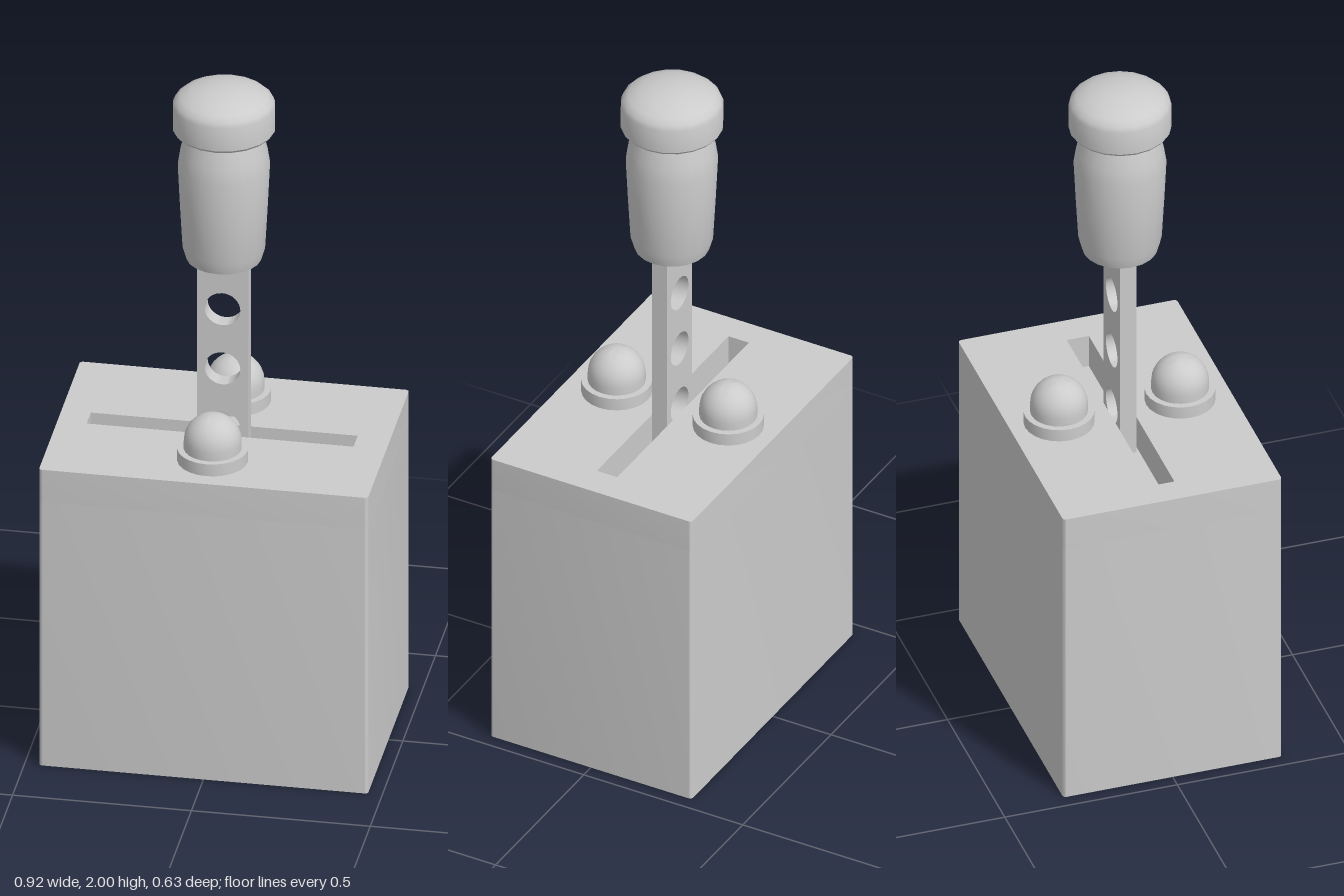
import * as THREE from 'three';
import { toCreasedNormals } from 'three/addons/utils/BufferGeometryUtils.js';

const material = new THREE.MeshStandardMaterial({ color: 0xcccccc });

function part(name, geometry, parent) {
  const mesh = new THREE.Mesh(toCreasedNormals(geometry, 0.6), material);
  mesh.name = name;
  parent.add(mesh);
  return mesh;
}

function lathe(points, sides) {
  return new THREE.LatheGeometry(points.map(([r, y]) => new THREE.Vector2(r, y)), sides);
}

// Rectangle with slightly softened corners
function roundedRect(hw, hh, r) {
  const s = new THREE.Shape();
  s.absarc(hw - r, hh - r, r, 0, Math.PI / 2);
  s.absarc(-hw + r, hh - r, r, Math.PI / 2, Math.PI);
  s.absarc(-hw + r, -hh + r, r, Math.PI, Math.PI * 1.5);
  s.absarc(hw - r, -hh + r, r, Math.PI * 1.5, Math.PI * 2);
  s.closePath();
  return s;
}

// Upright prism standing between two heights
function slab(shape, y0, y1) {
  return new THREE.ExtrudeGeometry(shape, { depth: y1 - y0, bevelEnabled: false, curveSegments: 3 })
    .rotateX(-Math.PI / 2).translate(0, y0, 0);
}

export function createModel() {
  const model = new THREE.Group();
  model.name = 'leverSwitchBox';
  const top = 0.925, slotFloor = 0.825;

  // Housing: solid lower block and an upper layer cut by the lever slot
  const housing = new THREE.Group();
  housing.name = 'housing';
  model.add(housing);
  part('housingBlock', slab(roundedRect(0.46, 0.317, 0.01), 0, slotFloor), housing);
  const upper = roundedRect(0.46, 0.317, 0.01);
  upper.holes.push(new THREE.Path([
    [-0.378, -0.032], [-0.378, 0.032], [0.368, 0.032], [0.368, -0.032],
  ].map(([x, y]) => new THREE.Vector2(x, y))));
  part('slottedTop', slab(upper, slotFloor, top), housing);

  // Lever: flat bar with three round holes
  const bar = new THREE.Shape([
    [-0.071, slotFloor], [0.071, slotFloor], [0.071, 1.5], [-0.071, 1.5],
  ].map(([x, y]) => new THREE.Vector2(x, y)));
  for (let i = 0; i < 3; i++) {
    const hole = new THREE.Path();
    hole.absarc(0, 1.315 - i * 0.185, 0.05, 0, Math.PI * 2, true);
    bar.holes.push(hole);
  }
  part('leverBar', new THREE.ExtrudeGeometry(bar, { depth: 0.048, bevelEnabled: false, curveSegments: 16 })
    .translate(0, 0, -0.024), model);

  // Hand grip, swelling toward the top and pinched under the cap
  part('grip', lathe([
    [0, 1.46], [0.09, 1.46], [0.104, 1.467], [0.115, 1.505], [0.122, 1.63],
    [0.128, 1.755], [0.121, 1.80], [0.108, 1.852], [0.116, 1.866], [0, 1.866],
  ], 20), model);

  // Domed cap
  part('gripCap', lathe([
    [0, 1.864], [0.136, 1.864], [0.142, 1.872], [0.142, 1.943], [0.137, 1.957],
    [0.122, 1.971], [0.092, 1.985], [0.05, 1.996], [0, 2],
  ], 20), model);

  // Indicator lamps at front and back of the slot
  const dome = [[0.08, top + 0.037], [0.08, 0.985]];
  for (let i = 1; i <= 8; i++) {
    const a = i / 8 * Math.PI / 2;
    dome.push([0.08 * Math.cos(a), 0.985 + 0.08 * Math.sin(a)]);
  }
  for (const [name, z] of [['frontLamp', 0.174], ['backLamp', -0.177]]) {
    const lamp = new THREE.Group();
    lamp.name = name;
    lamp.position.z = z;
    model.add(lamp);
    part(name + 'Collar', lathe([
      [0.098, top], [0.098, top + 0.037], [0, top + 0.037],
    ], 24), lamp);
    part(name + 'Dome', lathe(dome, 24), lamp);
  }
  return model;
}
